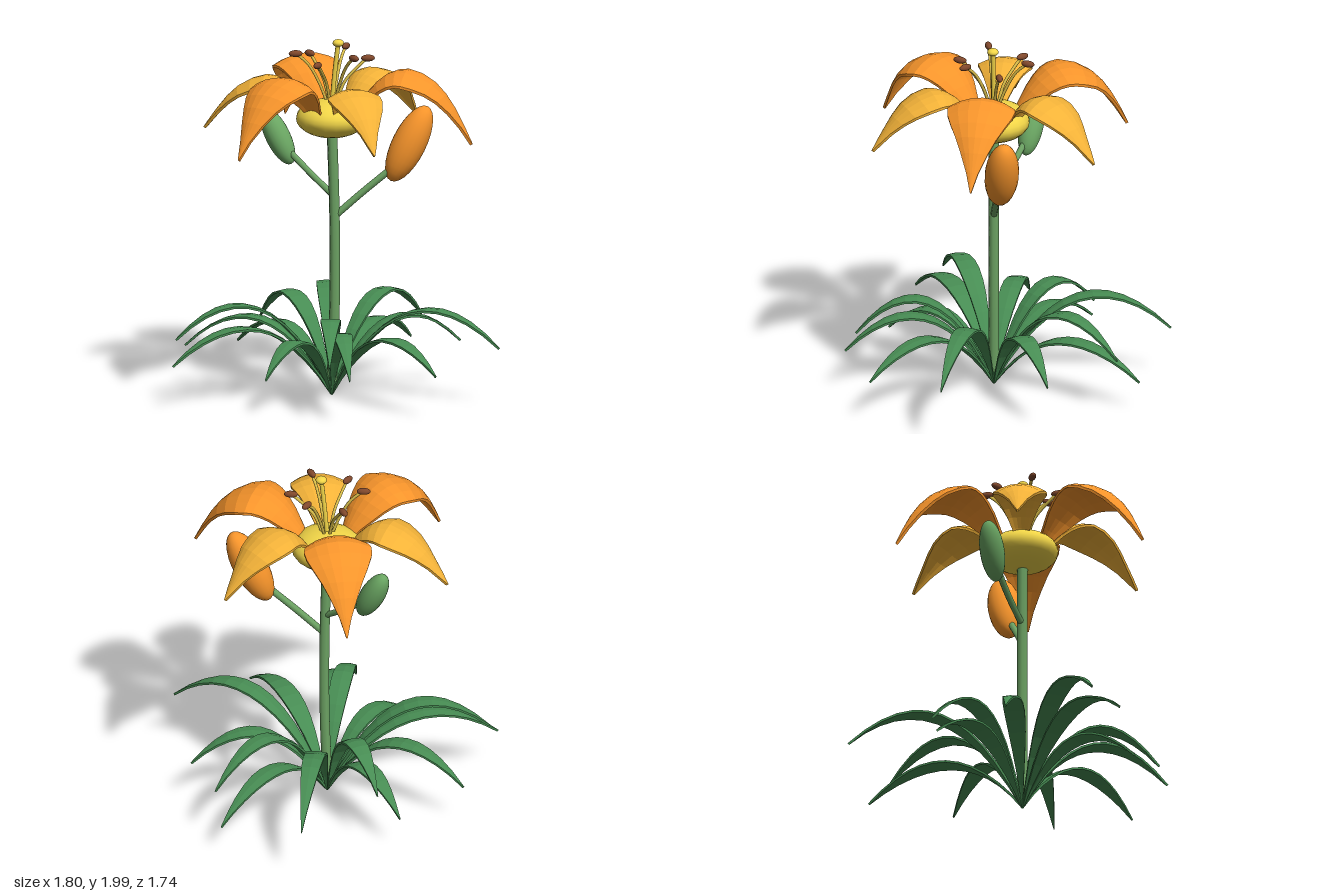
import * as THREE from 'three';

const V = (x, y, z = 0) => new THREE.Vector3(x, y, z);
const mat = (color, extra = {}) => new THREE.MeshStandardMaterial({ color, ...extra });
const thin = { side: THREE.DoubleSide, flatShading: true };
const MATS = {
  orange: mat(0xf8952b, thin), amber: mat(0xf3b238, thin), leaf: mat(0x478c53, thin),
  bud: mat(0xf8952b), stem: mat(0x6ca263), greenBud: mat(0x6ba763),
  yellow: mat(0xf2d648), filament: mat(0xdfc34c), anther: mat(0x80482c),
};
const AXIS = V(-0.07, 0, 0.075);

// Curved blade heading along +x: each row is a closed ring, top side out and underside back
function blade(curve, halfWidth, droop, thickness, rows, cols) {
  const pos = [], index = [], ring = 2 * (cols + 1);
  for (let i = 0; i <= rows; i++) {
    const t = i / rows, p = curve.getPoint(t), tan = curve.getTangent(t);
    const w = halfWidth(t, p.x);
    for (let j = 0; j < ring; j++) {
      const under = j > cols, s = ((under ? ring - 1 - j : j) / cols) * 2 - 1;
      const d = droop(s, w) + (under ? thickness / 2 : -thickness / 2);
      pos.push(p.x + tan.y * d, p.y - tan.x * d, -s * w);
      if (i < rows) {
        const a = i * ring + j, a2 = i * ring + ((j + 1) % ring);
        index.push(a, a + ring, a2, a + ring, a2 + ring, a2);
      }
    }
  }
  const g = new THREE.BufferGeometry();
  g.setAttribute('position', new THREE.Float32BufferAttribute(pos, 3));
  g.setIndex(index);
  g.computeVertexNormals();
  return g;
}

export function createModel() {
  const root = new THREE.Group();
  const add = (name, geo, material, parent = root) => {
    const m = new THREE.Mesh(geo, material);
    m.name = name;
    parent.add(m);
    return m;
  };
  const tube = (name, pts, r, material, parent, sides = 8) =>
    add(name, new THREE.TubeGeometry(new THREE.CatmullRomCurve3(pts), 12, r, sides), material, parent);
  // Ellipsoid whose long axis follows a direction
  const ellipsoid = (name, center, dir, half, r, material, parent) => {
    const m = add(name, new THREE.SphereGeometry(1, 20, 14), material, parent);
    m.position.copy(center);
    m.quaternion.setFromUnitVectors(V(0, 1, 0), dir.clone().normalize());
    m.scale.set(r, half, r);
    return m;
  };

  // Stem and side branches with buds
  tube('stem', [V(-0.07, 0.09, 0.075), V(-0.055, 0.5, 0.073), V(-0.055, 1, 0.073), V(-0.07, 1.52, 0.075)], 0.029, MATS.stem);
  tube('rightBranch', [V(-0.055, 1.01, 0.073), V(0.09, 1.14, 0.038), V(0.25, 1.275, 0)], 0.019, MATS.stem);
  tube('leftBranch', [V(-0.06, 1.125, 0.073), V(-0.2, 1.23, 0.005), V(-0.35, 1.355, -0.06)], 0.018, MATS.stem);
  ellipsoid('orangeBud', V(0.34, 1.41, -0.037), V(0.19, 0.4, -0.06), 0.23, 0.094, MATS.bud);
  ellipsoid('greenBud', V(-0.4, 1.415, -0.078), V(-0.15, 0.28, -0.04), 0.17, 0.068, MATS.greenBud);

  // Flower on the plant axis
  const flower = new THREE.Group();
  flower.name = 'flower';
  flower.position.copy(AXIS);
  root.add(flower);
  ellipsoid('flowerCentre', V(0, 1.56, 0), V(0, 1, 0), 0.107, 0.197, MATS.yellow, flower);

  // Petals: [radius, height] centre line and [radius, half width] outline
  const petal = (line, outline) => {
    const curve = new THREE.CatmullRomCurve3(line.map(([r, y]) => V(r, y)));
    const shape = new THREE.SplineCurve(outline.map(([r, w]) => new THREE.Vector2(r, w))).getPoints(80);
    const width = (t, r) => {
      const k = shape.findIndex((p) => p.x >= r - 1e-6);
      return Math.max(0, shape[k < 0 ? shape.length - 1 : k].y);
    };
    return blade(curve, width, (s, w) => 0.3 * w * s * s, 0.015, 12, 6);
  };
  const wide = petal(
    [[0.12, 1.58], [0.21, 1.715], [0.31, 1.81], [0.42, 1.838], [0.57, 1.77], [0.68, 1.635], [0.78, 1.44]],
    [[0.12, 0.04], [0.16, 0.07], [0.27, 0.143], [0.42, 0.188], [0.55, 0.162], [0.67, 0.083], [0.78, 0.003]]);
  const narrow = petal(
    [[0.12, 1.58], [0.19, 1.685], [0.27, 1.755], [0.37, 1.78], [0.52, 1.715], [0.63, 1.595], [0.71, 1.48]],
    [[0.12, 0.03], [0.16, 0.052], [0.25, 0.106], [0.38, 0.151], [0.5, 0.13], [0.61, 0.068], [0.71, 0.003]]);
  for (let i = 0; i < 6; i++) {
    const m = i % 2 ? add('innerPetal', narrow, MATS.amber, flower) : add('outerPetal', wide, MATS.orange, flower);
    m.rotation.y = (i * Math.PI) / 3;
  }

  // Stamens, alternating in height
  for (let i = 0; i < 6; i++) {
    const stamen = new THREE.Group();
    stamen.name = 'stamen';
    stamen.rotation.y = ((18 + i * 60) * Math.PI) / 180;
    flower.add(stamen);
    const h = i % 2 ? 1.925 : 1.89;
    tube('filament', [V(0.02, 1.63), V(0.07, 1.76), V(0.13, h - 0.06), V(0.195, h)], 0.009, MATS.filament, stamen, 6);
    ellipsoid('anther', V(0.2, h, 0), V(1, 0, 0), 0.038, 0.019, MATS.anther, stamen);
  }

  // Pistil
  tube('style', [V(0, 1.63), V(0.015, 1.8), V(0.035, 1.975)], 0.013, MATS.yellow, flower);
  ellipsoid('stigma', V(0.036, 1.98, 0), V(0, 1, 0), 0.021, 0.031, MATS.yellow, flower);

  // Arching leaves: tip x, tip z, peak height, tip height
  const leaves = [
    [-0.3, -0.87, 0.525, 0.31], [0.21, -0.78, 0.35, 0.18], [0.29, -0.67, 0.525, 0.33],
    [0.57, -0.33, 0.43, 0.26], [0.89, 0.21, 0.525, 0.33], [0.62, 0.65, 0.4, 0.25],
    [0.18, 0.86, 0.44, 0.25], [0.06, 0.82, 0.515, 0.31], [-0.85, 0.64, 0.43, 0.25],
    [-0.86, 0.49, 0.545, 0.37], [-0.9, 0.015, 0.43, 0.245], [-0.68, -0.37, 0.36, 0.205],
    [-0.56, -0.4, 0.525, 0.34], [-0.32, 0.7, 0.37, 0.205],
  ];
  for (const [x, z, peak, tip] of leaves) {
    const dx = x - AXIS.x, dz = z - AXIS.z, R = Math.hypot(dx, dz);
    const lift = peak + Math.sqrt(peak * peak - peak * tip);
    const curve = new THREE.QuadraticBezierCurve3(V(0, 0.015), V(R * 0.45, lift), V(R, tip));
    const width = (t) => 0.002 + 0.055 * Math.sin(Math.PI * Math.pow(t, 1.08));
    const m = add('leaf', blade(curve, width, (s, w) => 0.1 * w * Math.abs(s), 0.012, 12, 2), MATS.leaf);
    m.position.copy(AXIS);
    m.rotation.y = Math.atan2(-dz, dx);
  }
  return root;
}
